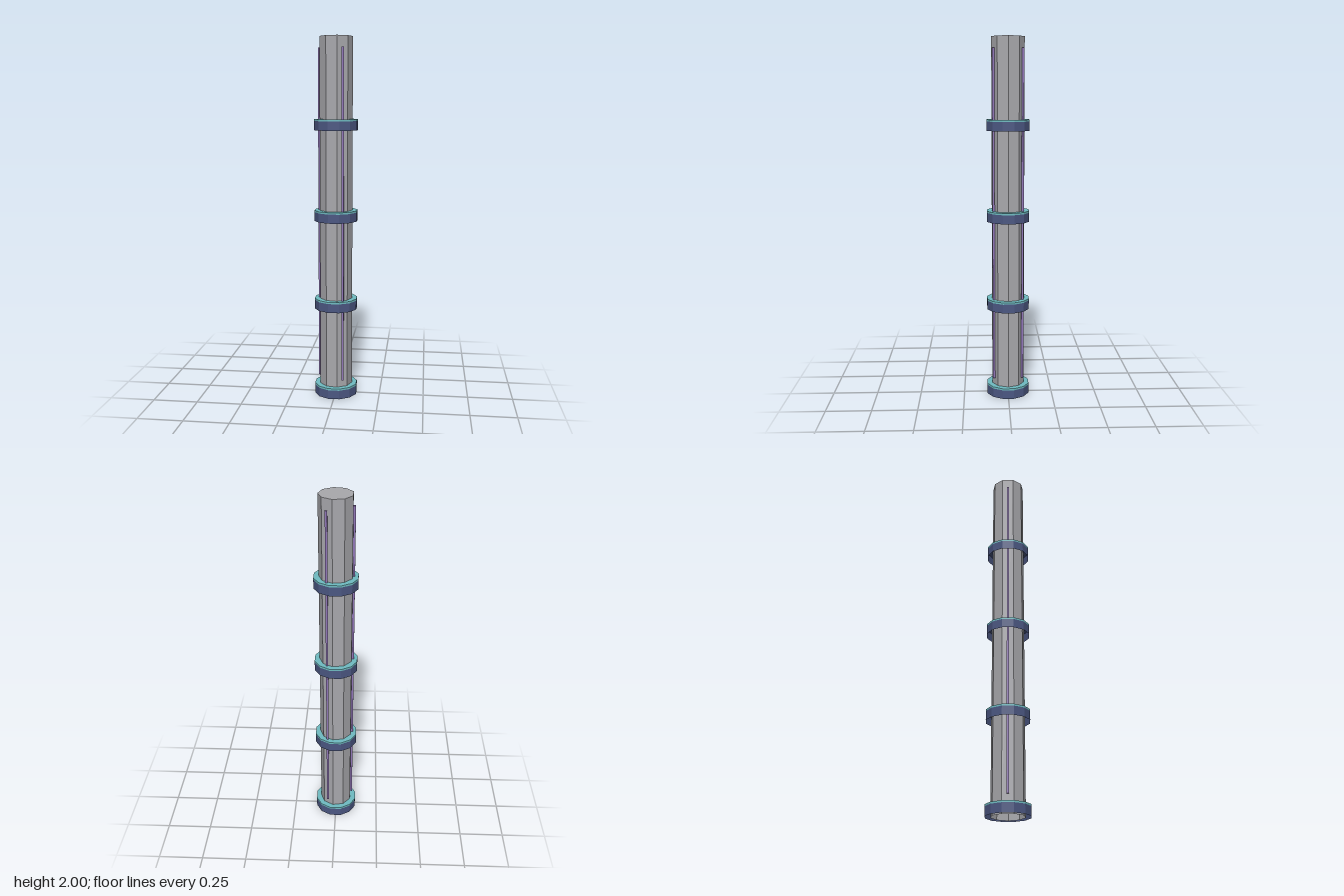
import * as THREE from 'three';

const mat = (name, color, side = THREE.FrontSide) => {
  const m = new THREE.MeshStandardMaterial({ color, side, flatShading: true });
  m.name = name;
  return m;
};

export function createModel() {
  const grey = mat('column grey', 0xa9a9ad, THREE.DoubleSide);
  const navy = mat('collar navy', 0x4b5782, THREE.DoubleSide);
  const teal = mat('rim teal', 0x70bcc2, THREE.DoubleSide);
  const purple = mat('strip purple', 0x8f75b5);
  const root = new THREE.Group();
  root.name = 'column';

  const add = (parent, name, geometry, material, x = 0, y = 0, z = 0) => {
    const mesh = new THREE.Mesh(geometry, material);
    mesh.name = name;
    mesh.position.set(x, y, z);
    parent.add(mesh);
    return mesh;
  };
  const tube = (r, h, sides, start) =>
    new THREE.CylinderGeometry(r, r, h, sides, 1, true, start);

  // Nine-sided shaft, open underneath, one corner towards +x
  const R = 0.091;
  add(root, 'shaft', tube(R, 2, 9, Math.PI / 2), grey, 0, 1);
  add(root, 'shaftTop', new THREE.CircleGeometry(R, 9).rotateX(-Math.PI / 2), grey, 0, 2);

  // Twelve-sided collars, hollow below with a thin coloured rim on top
  const C = 0.121, start = Math.PI / 12;
  for (let i = 0; i < 4; i++) {
    const collar = new THREE.Group();
    collar.name = 'collar' + (i + 1);
    collar.position.y = i * 0.5;
    add(collar, 'collarBand', tube(C, 0.05, 12, start), navy, 0, 0.025);
    add(collar, 'collarPlate', new THREE.CircleGeometry(C, 12, start).rotateX(-Math.PI / 2), navy, 0, 0.049);
    add(collar, 'rimEdge', tube(C, 0.01, 12, start), teal, 0, 0.055);
    add(collar, 'rimTop', new THREE.RingGeometry(0.08, C, 12, 1, start).rotateX(-Math.PI / 2), teal, 0, 0.06);
    root.add(collar);
  }

  // Three slim upright strips around the shaft
  for (const deg of [60, 180, 300]) {
    const a = THREE.MathUtils.degToRad(deg);
    add(root, 'strip', new THREE.BoxGeometry(0.012, 1.84, 0.012), purple,
      0.092 * Math.cos(a), 1.02, 0.092 * Math.sin(a));
  }
  return root;
}
